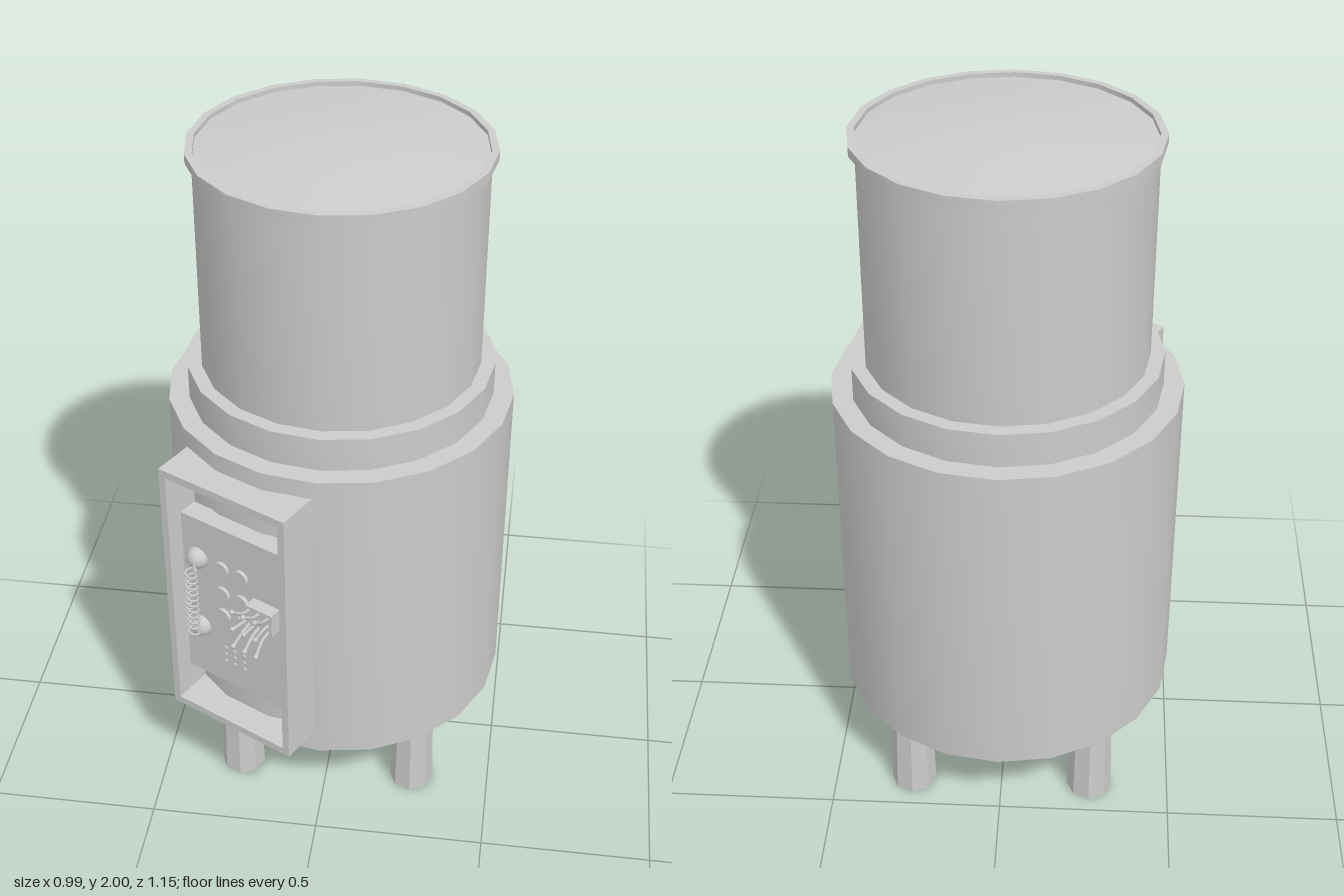
import * as THREE from 'three';
import { toCreasedNormals } from 'three/addons/utils/BufferGeometryUtils.js';

export function createModel() {
  const model = new THREE.Group();
  const material = new THREE.MeshStandardMaterial({ color: 0xcccccc });

  function add(parent, name, geometry, x = 0, y = 0, z = 0) {
    const mesh = new THREE.Mesh(geometry, material);
    mesh.name = name;
    mesh.position.set(x, y, z);
    parent.add(mesh);
    return mesh;
  }
  // Twenty-sided turned part with sharp profile edges
  function turned(profile) {
    const points = profile.map(([r, y]) => new THREE.Vector2(r, y));
    return toCreasedNormals(new THREE.LatheGeometry(points, 20), 0.6);
  }
  function tube(points, segments, radius) {
    const path = new THREE.CatmullRomCurve3(points);
    return new THREE.TubeGeometry(path, segments, radius, 6);
  }

  // Tank, all turned around one axis
  const tank = new THREE.Group();
  tank.name = 'tank';
  tank.position.z = -0.07;
  model.add(tank);
  add(tank, 'lowerBody', turned([[0, 0.245], [0.495, 0.245], [0.495, 1.235], [0.43, 1.235]]));
  add(tank, 'collar', turned([[0.437, 1.23], [0.437, 1.335], [0.39, 1.335]]));
  add(tank, 'upperBody', turned([[0.397, 1.33], [0.397, 1.96]]));
  add(tank, 'lid', turned([[0.395, 1.957], [0.414, 1.957], [0.414, 1.983], [0.394, 1.983],
    [0.394, 1.97], [0.25, 1.986], [0.1, 2], [0, 2]]));

  // Four slightly flared legs
  for (const x of [-0.265, 0.265]) {
    for (const z of [-0.318, 0.318]) {
      const leg = new THREE.CylinderGeometry(0.06, 0.066, 0.25, 8);
      add(tank, 'leg', toCreasedNormals(leg, 0.5), x, 0.125, z);
    }
  }

  // Control box, facing outward from the tank
  const box = new THREE.Group();
  box.name = 'controlBox';
  box.rotation.y = THREE.MathUtils.degToRad(-27);
  tank.add(box);

  // Deep open frame around the recess
  const outline = (w, h, type) => new type([[-w, -h], [w, -h], [w, h], [-w, h]]
    .map(([x, y]) => new THREE.Vector2(x, y)));
  const frame = outline(0.212, 0.43, THREE.Shape);
  frame.holes.push(outline(0.19, 0.407, THREE.Path));
  add(box, 'boxFrame', new THREE.ExtrudeGeometry(frame, { depth: 0.127, bevelEnabled: false }), 0, 0.75, 0.445);
  add(box, 'panel', new THREE.BoxGeometry(0.337, 0.565, 0.06), 0, 0.7475, 0.51);

  // Knobs joined by a coiled cord
  for (const y of [0.645, 0.895]) {
    add(box, 'cordKnob', new THREE.SphereGeometry(0.034, 14, 10), -0.115, y, 0.54);
  }
  const coil = [new THREE.Vector3(-0.11, 0.645, 0.565)];
  const turns = 11;
  for (let i = 0; i <= turns * 8; i++) {
    const a = i * Math.PI / 4;
    coil.push(new THREE.Vector3(-0.105 + 0.016 * Math.cos(a), 0.655 + 0.23 * i / (turns * 8),
      0.587 + 0.016 * Math.sin(a)));
  }
  coil.push(new THREE.Vector3(-0.11, 0.895, 0.565));
  add(box, 'coiledCord', tube(coil, 300, 0.0035));

  // Round buttons
  for (const x of [-0.031, 0.036]) {
    for (const y of [0.72, 0.8, 0.89]) {
      const button = new THREE.CylinderGeometry(0.024, 0.026, 0.01, 16);
      add(box, 'button', button, x, y, 0.544).rotation.x = Math.PI / 2;
    }
  }

  // Grid of small speaker studs
  for (let i = -1; i <= 1; i++) {
    for (let j = -1; j <= 1; j++) {
      const stud = new THREE.CylinderGeometry(0.007, 0.007, 0.006, 8);
      add(box, 'speakerStud', stud, 0.003 + i * 0.033, 0.573 + j * 0.025, 0.542).rotation.x = Math.PI / 2;
    }
  }

  // Plug block with rows of splayed pins
  add(box, 'plugBlock', new THREE.BoxGeometry(0.09, 0.075, 0.04), 0.122, 0.8, 0.558);
  for (let i = -1; i <= 1; i++) {
    for (let j = -1; j <= 1; j++) {
      const x = 0.122 + i * 0.033;
      const tip = new THREE.Vector3(x + i * 0.006, 0.8 + j * 0.062, 0.645);
      const pin = tube([
        new THREE.Vector3(x, 0.8 + j * 0.024, 0.57),
        new THREE.Vector3(x, 0.8 + j * 0.032, 0.605),
        tip,
      ], 8, 0.005);
      add(box, 'plugPin', pin);
      add(box, 'pinTip', new THREE.SphereGeometry(0.008, 8, 6), tip.x, tip.y, tip.z);
    }
  }
  return model;
}
